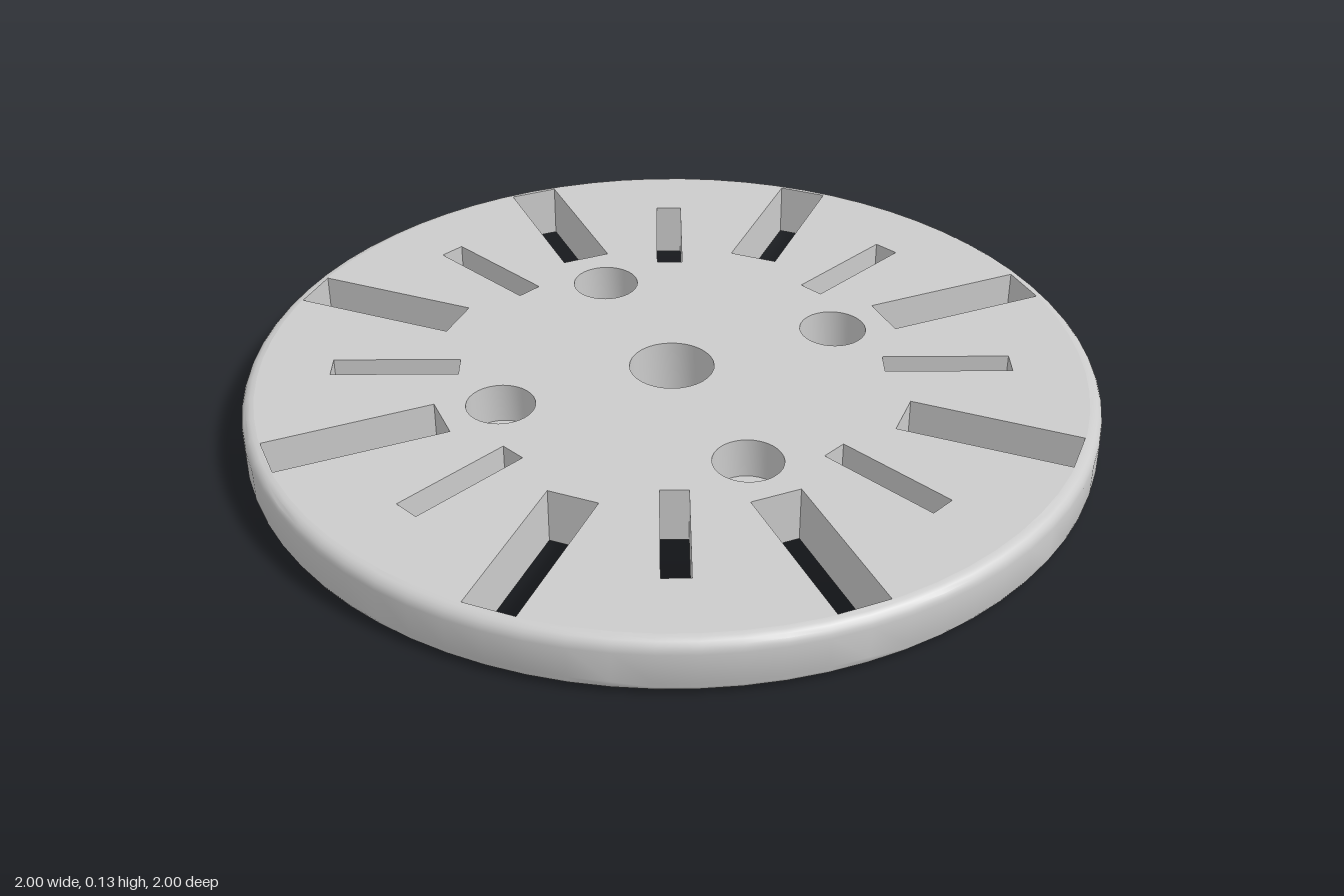
import * as THREE from 'three';
import { mergeGeometries, toCreasedNormals } from 'three/addons/utils/BufferGeometryUtils.js';

const H = 0.133;       // disc thickness
const FILLET = 0.03;   // rounded outer edge
const RIM_SEGS = 72, HOLE_SEGS = 32;
const BORE_R = 0.1;
const BOLT = { dist: 0.425, r: 0.045, headR: 0.08, floor: 0.035 };

// Long slots every 45 degrees, short slots between them
const slots = [];
for (let i = 0; i < 16; i++) {
  const angle = (i * Math.PI) / 8;
  slots.push(i % 2 === 0
    ? { angle, inner: 0.565, outer: 0.966, width: 0.12, name: 'longSlot' }
    : { angle, inner: 0.5, outer: 0.8, width: 0.064, name: 'shortSlot' });
}
const boltAngles = [0, 1, 2, 3].map(i => (i * Math.PI) / 2);

function circle(r, segs, cx = 0, cy = 0) {
  return Array.from({ length: segs }, (_, i) => {
    const a = (i / segs) * Math.PI * 2;
    return new THREE.Vector2(cx + r * Math.sin(a), cy + r * Math.cos(a));
  });
}

// Flat face of the disc with all openings cut out
function faceGeometry(boltRadius) {
  const shape = new THREE.Shape(circle(1 - FILLET, RIM_SEGS));
  const cut = pts => shape.holes.push(new THREE.Path(pts));
  cut(circle(BORE_R, HOLE_SEGS));
  for (const a of boltAngles) {
    cut(circle(boltRadius, HOLE_SEGS, BOLT.dist * Math.cos(a), BOLT.dist * Math.sin(a)));
  }
  for (const { angle, inner, outer, width } of slots) {
    const w = width / 2;
    cut([[inner, -w], [outer, -w], [outer, w], [inner, w]].map(([x, y]) =>
      new THREE.Vector2(x, y).rotateAround(new THREE.Vector2(), angle)));
  }
  return new THREE.ShapeGeometry(shape);
}

// Four inward-facing walls of a radial slot
function slotGeometry({ angle, inner, outer, width }) {
  const len = outer - inner;
  const walls = [0, 1, 2, 3].map(i => {
    const along = i % 2 === 0;
    return new THREE.PlaneGeometry(along ? len : width, H)
      .translate(0, 0, -(along ? width : len) / 2)
      .rotateY((i * Math.PI) / 2);
  });
  return mergeGeometries(walls).translate((inner + outer) / 2, H / 2, 0).rotateY(angle);
}

function turned(points, segs) {
  const profile = points.map(([r, y]) => new THREE.Vector2(r, y));
  return toCreasedNormals(new THREE.LatheGeometry(profile, segs), 0.6);
}

export function createModel() {
  const group = new THREE.Group();
  const material = new THREE.MeshStandardMaterial({ color: 0xcccccc });
  const add = (name, geometry) => {
    const mesh = new THREE.Mesh(geometry, material);
    mesh.name = name;
    group.add(mesh);
    return mesh;
  };

  // Top and bottom faces
  add('topFace', faceGeometry(BOLT.headR).rotateX(-Math.PI / 2).translate(0, H, 0));
  add('bottomFace', faceGeometry(BOLT.r).rotateX(Math.PI / 2));

  // Outer rim, rounded at both edges
  const rim = [];
  for (const [cy, start] of [[FILLET, -Math.PI / 2], [H - FILLET, 0]]) {
    for (let i = 0; i <= 5; i++) {
      const a = start + (i / 5) * (Math.PI / 2);
      rim.push([1 - FILLET + FILLET * Math.cos(a), cy + FILLET * Math.sin(a)]);
    }
  }
  add('rim', turned(rim, RIM_SEGS));

  // Centre bore
  add('centreBore', turned([[BORE_R, H], [BORE_R, 0]], HOLE_SEGS));

  // Counterbored bolt holes
  const boltHole = turned([[BOLT.headR, H], [BOLT.headR, BOLT.floor],
    [BOLT.r, BOLT.floor], [BOLT.r, 0]], HOLE_SEGS);
  for (const a of boltAngles) {
    add('boltHole', boltHole).position.set(BOLT.dist * Math.cos(a), 0, -BOLT.dist * Math.sin(a));
  }

  // Slot walls
  for (const slot of slots) add(slot.name, slotGeometry(slot));

  return group;
}
